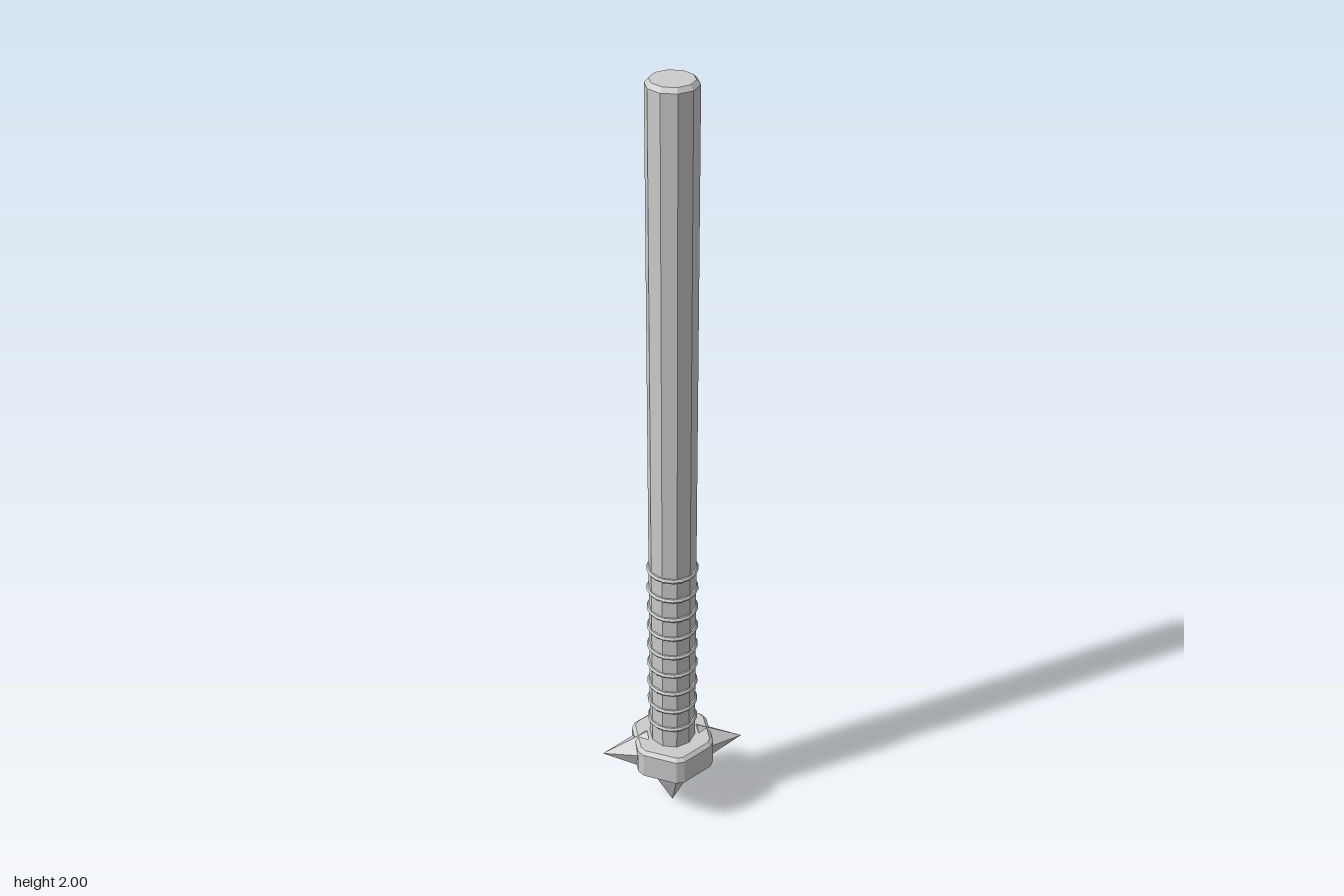
import * as THREE from 'three';

const material = new THREE.MeshStandardMaterial({ color: 0xcccccc, flatShading: true });

export function createModel() {
  const model = new THREE.Group();
  const add = (name, geometry) => {
    const mesh = new THREE.Mesh(geometry, material);
    mesh.name = name;
    model.add(mesh);
    return mesh;
  };

  // ten-sided shaft with a chamfered end
  const profile = [[0, 0.2], [0.058, 0.2], [0.058, 1.99], [0.049, 2], [0, 2]];
  add('shaft', new THREE.LatheGeometry(profile.map(([r, y]) => new THREE.Vector2(r, y)), 10));

  // grip rings
  const ringGeometry = new THREE.TorusGeometry(0.0565, 0.007, 6, 18).rotateX(Math.PI / 2);
  for (let i = 0; i < 9; i++) {
    add('gripRing', ringGeometry).position.y = 0.298 + i * 0.059;
  }

  // hexagonal head: cut corners, chamfered top and bottom
  const apothem = 0.089, cut = 0.098, bevel = 0.009;
  const corner = apothem / Math.cos(Math.PI / 6);
  const half = (corner - cut) * Math.sqrt(3);
  const shape = new THREE.Shape();
  const points = [];
  for (let i = 0; i < 6; i++) {
    const a = Math.PI / 2 + i * Math.PI / 3;
    for (const s of [-half, half]) {
      points.push(new THREE.Vector2(
        cut * Math.cos(a) - s * Math.sin(a),
        cut * Math.sin(a) + s * Math.cos(a)));
    }
  }
  shape.setFromPoints(points);
  const headGeometry = new THREE.ExtrudeGeometry(shape, {
    depth: 0.07, bevelEnabled: true, bevelSize: bevel, bevelThickness: bevel, bevelSegments: 1
  });
  add('hexHead', headGeometry.rotateX(-Math.PI / 2)).position.y = 0.15 + bevel;

  // five-sided bottom spike, pointing down with one ridge to the front
  const bottom = new THREE.ConeGeometry(0.073, 0.152, 5).rotateZ(Math.PI);
  add('bottomSpike', bottom).position.y = 0.076;

  // five-sided side spikes, one ridge upward
  for (const side of [1, -1]) {
    const spike = new THREE.ConeGeometry(0.056, 0.117, 5)
      .rotateX(-Math.PI / 2)
      .rotateY(-side * Math.PI / 2);
    add(side > 0 ? 'leftSpike' : 'rightSpike', spike).position.set(side * 0.1235, 0.195, 0);
  }
  return model;
}
